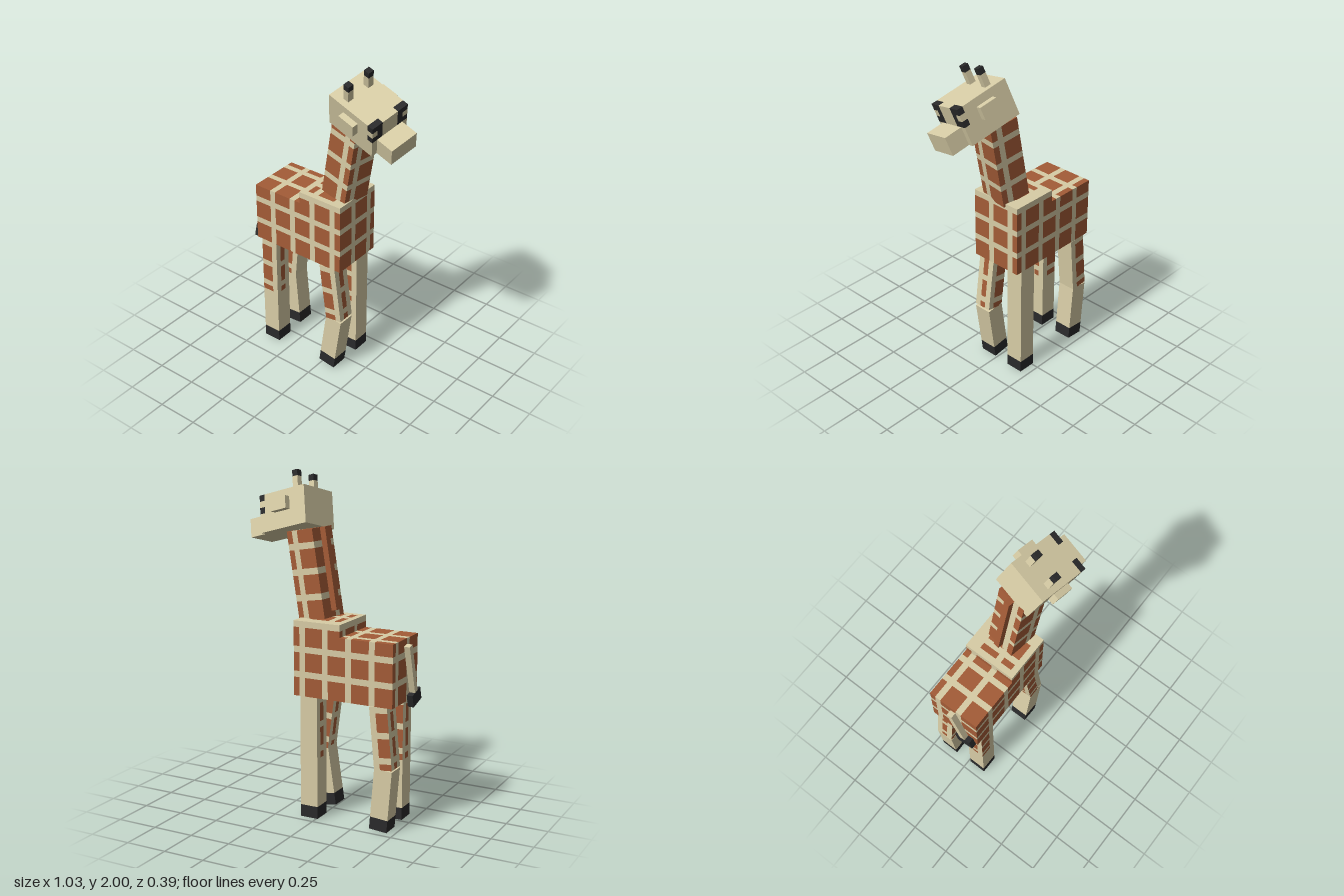
import * as THREE from 'three';

const P = 0.0365; // edge of one square of the hide pattern
const colour = (name, hex) => Object.assign(new THREE.MeshStandardMaterial({ color: hex }), { name });
const cream = colour('cream', 0xd8cda6);
const brown = colour('brown', 0xa45c37);
const black = colour('black', 0x2a2a2b);
const AXES = ['x', 'y', 'z'];

// Box measured in pattern squares; paint(cell, axis, side) gives each square its material
function patternBox(name, size, paint) {
  const geo = new THREE.BoxGeometry(...size.map((n) => n * P), ...size);
  const { position: pos, normal } = geo.attributes;
  const old = geo.index.array;
  const byMaterial = new Map();
  for (let q = 0; q < old.length; q += 6) {
    const a = new THREE.Vector3().fromBufferAttribute(pos, old[q + 1]);
    a.add(new THREE.Vector3().fromBufferAttribute(pos, old[q + 2])).multiplyScalar(0.5 / P);
    const n = new THREE.Vector3().fromBufferAttribute(normal, old[q]);
    const axis = AXES.findIndex((k) => Math.abs(n[k]) > 0.5);
    const cell = AXES.map((k, i) => Math.floor(a[k] - n[k] * 0.5 + size[i] / 2 + 1e-4));
    const mat = paint(cell, axis, Math.sign(n[AXES[axis]]));
    if (!byMaterial.has(mat)) byMaterial.set(mat, []);
    byMaterial.get(mat).push(...old.slice(q, q + 6));
  }
  geo.clearGroups();
  const index = [];
  const materials = [...byMaterial.keys()];
  materials.forEach((m, i) => {
    geo.addGroup(index.length, byMaterial.get(m).length, i);
    index.push(...byMaterial.get(m));
  });
  geo.setIndex(index);
  const mesh = new THREE.Mesh(geo, materials);
  mesh.name = name;
  return mesh;
}

// Plain box, also measured in pattern squares
function plainBox(name, size, material, x, y, z) {
  const mesh = new THREE.Mesh(new THREE.BoxGeometry(...size.map((n) => n * P)), material);
  mesh.name = name;
  mesh.position.set(x, y, z);
  return mesh;
}

// Brown squares three wide, separated by single cream lines
const checked = (cell, axis) => (cell.some((c, i) => i !== axis && c % 4 === 3) ? cream : brown);

function makeBody() {
  const body = new THREE.Group();
  body.name = 'body';
  const flipZ = ([i, j, k]) => [i, j, 8 - k];
  const trunk = patternBox('trunk', [17, 10, 9], (c, axis, side) =>
    axis === 1 && side < 0 ? brown : checked(flipZ(c), axis));
  trunk.position.set(-0.17, 0.732 + 5 * P, -0.0425);
  const withers = patternBox('withers', [8, 2, 9], ([i, j, k], axis) => {
    if (axis !== 1) return checked(flipZ([i + 9, j + 10, k]), axis);
    const spot = (i === 1 || (i > 2 && i < 6)) && k > 1 && k < 8 && k !== 5;
    return spot ? brown : cream;
  });
  withers.position.set(-0.17 + 4.5 * P, 0.732 + 11 * P, -0.0425);
  body.add(trunk, withers);
  return body;
}

// Leg of two hinged segments; hipSwing and kneeSwing are absolute tilts
function makeLeg(name, x, z, hipSwing, kneeSwing, isPlain) {
  const leg = new THREE.Group();
  leg.name = name;
  leg.position.set(x, 0.732, z);
  const upper = new THREE.Group();
  upper.rotation.z = hipSwing;
  const thigh = patternBox('upperLeg', [3, 10, 3], ([i, j, k], axis, side) => {
    if (axis === 1 || isPlain(axis, side) || (9 - j) % 4 === 0) return cream;
    return (axis === 2 ? i < 2 : k === 1) ? brown : cream;
  });
  thigh.position.y = -5 * P;
  upper.add(thigh);
  const lower = new THREE.Group();
  lower.position.set(10 * P * Math.sin(hipSwing), -10 * P * Math.cos(hipSwing), 0);
  lower.rotation.z = kneeSwing;
  lower.add(plainBox('shin', [3, 8, 3], cream, 0, -4 * P, 0));
  lower.add(plainBox('hoof', [3, 2, 3], black, 0, -9 * P, 0));
  leg.add(upper, lower);
  return leg;
}

function makeNeck() {
  const neck = new THREE.Group();
  neck.name = 'neck';
  neck.position.set(0.05, 1.166, -0.04);
  neck.rotation.set(0, -0.145, -0.175, 'YXZ');
  const column = patternBox('neckColumn', [5, 14, 5], checked);
  column.position.y = 7 * P;
  neck.add(column, plainBox('mane', [1, 13, 1], brown, -3 * P, 7.5 * P, 0));
  return neck;
}

function makeHead() {
  const head = new THREE.Group();
  head.name = 'head';
  head.position.set(0.2375, 1.7505, 0.007);
  head.rotation.set(0.257, -0.193, -0.224);
  // Eyes wrap round the upper front corners, each with a pale outer square
  head.add(patternBox('skull', [9, 6, 7], ([i, j, k]) => {
    const out = Math.abs(k - 3);
    return i === 8 && j > 2 && out > 1 && !(j === 4 && out === 3) ? black : cream;
  }));
  head.add(plainBox('muzzle', [3, 3, 5], cream, 6 * P, -1.5 * P, 0));
  for (const s of [1, -1]) {
    head.add(plainBox('ear', [3, 2, 1], cream, 0, 0.7 * P, s * 4 * P));
    head.add(plainBox('horn', [1, 2, 1], cream, -2.05 * P, 4 * P, s * 2 * P));
    head.add(plainBox('hornTip', [1, 1, 1], black, -2.05 * P, 5.5 * P, s * 2 * P));
  }
  return head;
}

function makeTail() {
  const tail = new THREE.Group();
  tail.name = 'tail';
  tail.position.set(-0.4975, 1.06, -0.045);
  tail.rotation.x = -0.28;
  tail.add(plainBox('tailStem', [1, 8, 1], cream, 0, -4 * P, 0));
  tail.add(plainBox('tailTuft', [1, 2, 3], black, 0, -9 * P, 0));
  return tail;
}

export function createModel() {
  const giraffe = new THREE.Group();
  giraffe.name = 'giraffe';
  const none = () => false;
  giraffe.add(makeBody(), makeNeck(), makeHead(), makeTail());
  // Walking pose: one diagonal pair straight, the other bent
  giraffe.add(
    makeLeg('leftForeleg', 0.046, -0.15, 0, 0, (axis, side) => (axis === 0 ? side > 0 : side < 0)),
    makeLeg('rightForeleg', 0.046, 0.067, 0.13, -0.148, none),
    makeLeg('leftHindLeg', -0.392, -0.15, -0.095, 0.08, (axis, side) => axis === 0 && side > 0),
    makeLeg('rightHindLeg', -0.392, 0.067, 0, 0, none),
  );
  return giraffe;
}
